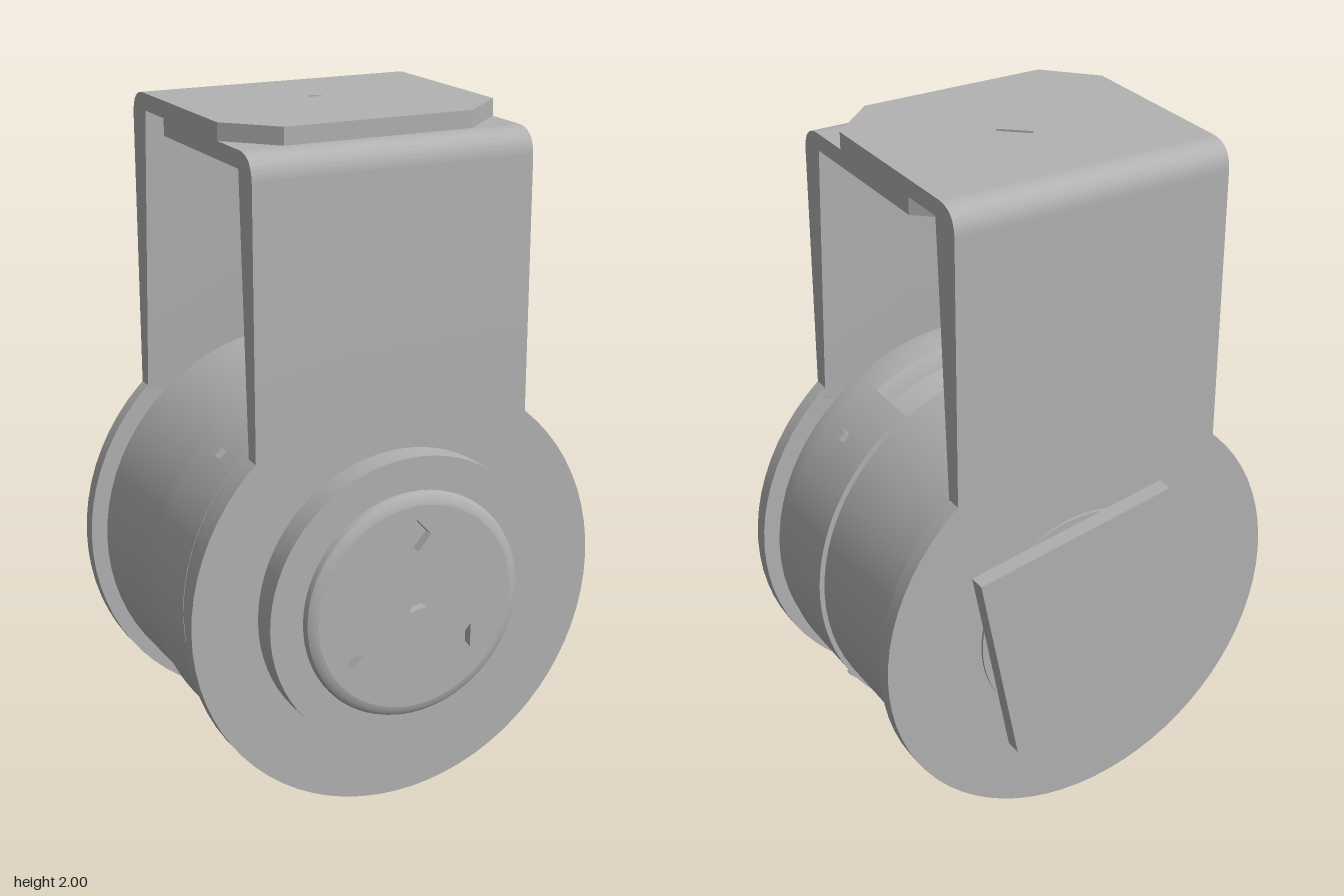
import * as THREE from 'three';
import { toCreasedNormals } from 'three/addons/utils/BufferGeometryUtils.js';

const CY = 0.643; // height of the drum axis

export function createModel() {
  const model = new THREE.Group();
  const grey = new THREE.MeshStandardMaterial({ color: 0xb2b2b2 });
  grey.name = 'grey metal';

  const add = (name, geo, x = 0, y = 0, z = 0) => {
    const mesh = new THREE.Mesh(toCreasedNormals(geo, 0.5), grey);
    mesh.name = name;
    mesh.position.set(x, y, z);
    model.add(mesh);
    return mesh;
  };
  // Turned part around the drum axis; points are [radius, z]
  const turned = (name, pts) => {
    const geo = new THREE.LatheGeometry(pts.map(p => new THREE.Vector2(p[0], p[1])), 72);
    geo.rotateX(Math.PI / 2);
    return add(name, geo, 0, CY, 0);
  };
  const disc = (name, r, z0, z1) => turned(name, [[0, z0], [r, z0], [r, z1], [0, z1]]);
  const poly = (pts, Type = THREE.Shape) => new Type(pts.map(p => new THREE.Vector2(p[0], p[1])));
  const extrude = (shape, depth) =>
    new THREE.ExtrudeGeometry(shape, { depth, bevelEnabled: false, curveSegments: 32 });

  // Two overlapping L brackets: s = 1 front (lower), s = -1 back (upper)
  const X0 = -0.44, X1 = 0.41;
  const bracket = (name, s, top, out, inner, innerLow) => {
    disc(name + 'RoundPlate', 0.64, ...(s > 0 ? [innerLow, out] : [-out, -innerLow]));

    // Tapered arm with a rounded outer bend
    const arm = new THREE.Shape();
    arm.moveTo(s * innerLow, 1.09);
    arm.lineTo(s * out, 1.09);
    arm.lineTo(s * out, top - 0.08);
    arm.quadraticCurveTo(s * out, top, s * (out - 0.08), top);
    arm.lineTo(s * inner, top);
    arm.lineTo(s * inner, top - 0.05);
    arm.closePath();
    const armGeo = extrude(arm, X1 - X0);
    armGeo.rotateY(-Math.PI / 2);
    add(name + 'Arm', armGeo, X1, 0, 0);

    // Top flange with two clipped corners and a diamond hole
    const near = -s * inner, far = s * (s > 0 ? 0.35 : 0.31), clip = far - s * 0.14;
    const flange = poly([[X0, near], [X1, near], [X1, clip], [X1 - 0.15, far], [X0 + 0.13, far], [X0, clip]]);
    flange.holes.push(poly([[-0.03, 0.11], [0.07, 0.02], [-0.03, -0.08], [-0.11, -0.01]], THREE.Path));
    const flangeGeo = extrude(flange, 0.05);
    flangeGeo.rotateX(-Math.PI / 2);
    add(name + 'Flange', flangeGeo, 0, top - 0.05, 0);
  };
  bracket('frontBracket', 1, 1.95, 0.39, 0.305, 0.345);
  bracket('backBracket', -1, 2.0, 0.445, 0.35, 0.4);

  // Front hub: wide collar and rounded cap with small cut marks
  disc('frontCollar', 0.44, 0.38, 0.47);
  turned('capRim', [[0.34, 0.46], [0.34, 0.475], [0.335, 0.488], [0.322, 0.497], [0.305, 0.5]]);
  const face = new THREE.Shape();
  face.absarc(0, 0, 0.306, 0, Math.PI * 2, false);
  const marks = [
    [[0, 0.265], [0.045, 0.215], [0.005, 0.17], [-0.04, 0.21]],
    [[-0.005, 0.03], [0.035, -0.005], [-0.02, -0.015]],
    [[-0.24, -0.11], [-0.165, -0.115], [-0.205, -0.15]],
    [[0.18, -0.085], [0.15, -0.12], [0.18, -0.16]],
  ];
  marks.forEach(m => face.holes.push(poly(m, THREE.Path)));
  add('capFace', extrude(face, 0.03), 0, CY, 0.47);

  // Rear mount: low boss and a slightly turned square plate
  disc('rearBoss', 0.34, -0.453, -0.43);
  add('rearSquarePlate', new THREE.BoxGeometry(0.636, 0.636, 0.05), 0, CY, -0.477).rotation.z = -0.19;

  // Drum: rear cylinder, recessed neck, front ring and axle
  turned('drumRear', [[0, -0.39], [0.585, -0.39], [0.597, -0.38], [0.597, 0.025], [0.59, 0.032], [0, 0.032]]);
  turned('drumNeck', [[0.525, 0.02], [0.53, 0.09], [0.555, 0.19]]);
  turned('drumFrontRing', [[0.53, 0.18], [0.555, 0.18], [0.602, 0.205], [0.609, 0.26],
    [0.603, 0.315], [0.585, 0.333], [0, 0.333]]);
  disc('axle', 0.45, -0.41, 0.36);

  // Side shells, leaving the neck open at top and bottom
  for (const s of [1, -1]) {
    const mid = s > 0 ? 0 : Math.PI, half = 1.03;
    const arc = new THREE.Shape();
    arc.absarc(0, 0, 0.61, mid - half, mid + half, false);
    arc.absarc(0, 0, 0.52, mid + half, mid - half, true);
    arc.closePath();
    add('sideShell', extrude(arc, 0.23), 0, CY, 0.03);

    // Small studs on the shell and tabs in the neck gap
    for (const v of [1, -1]) {
      const stud = add('stud', new THREE.BoxGeometry(0.03, 0.03, 0.022), s * 0.445, CY + v * 0.425, 0.16);
      stud.rotation.z = s * v * 0.76;
    }
    add('neckTab', new THREE.BoxGeometry(0.14, 0.06, 0.15), 0, CY + s * 0.56, -0.015);
  }
  // Little catch on top of the drum
  add('catch', new THREE.BoxGeometry(0.03, 0.02, 0.05), 0.03, CY + 0.6, -0.29);

  return model;
}
